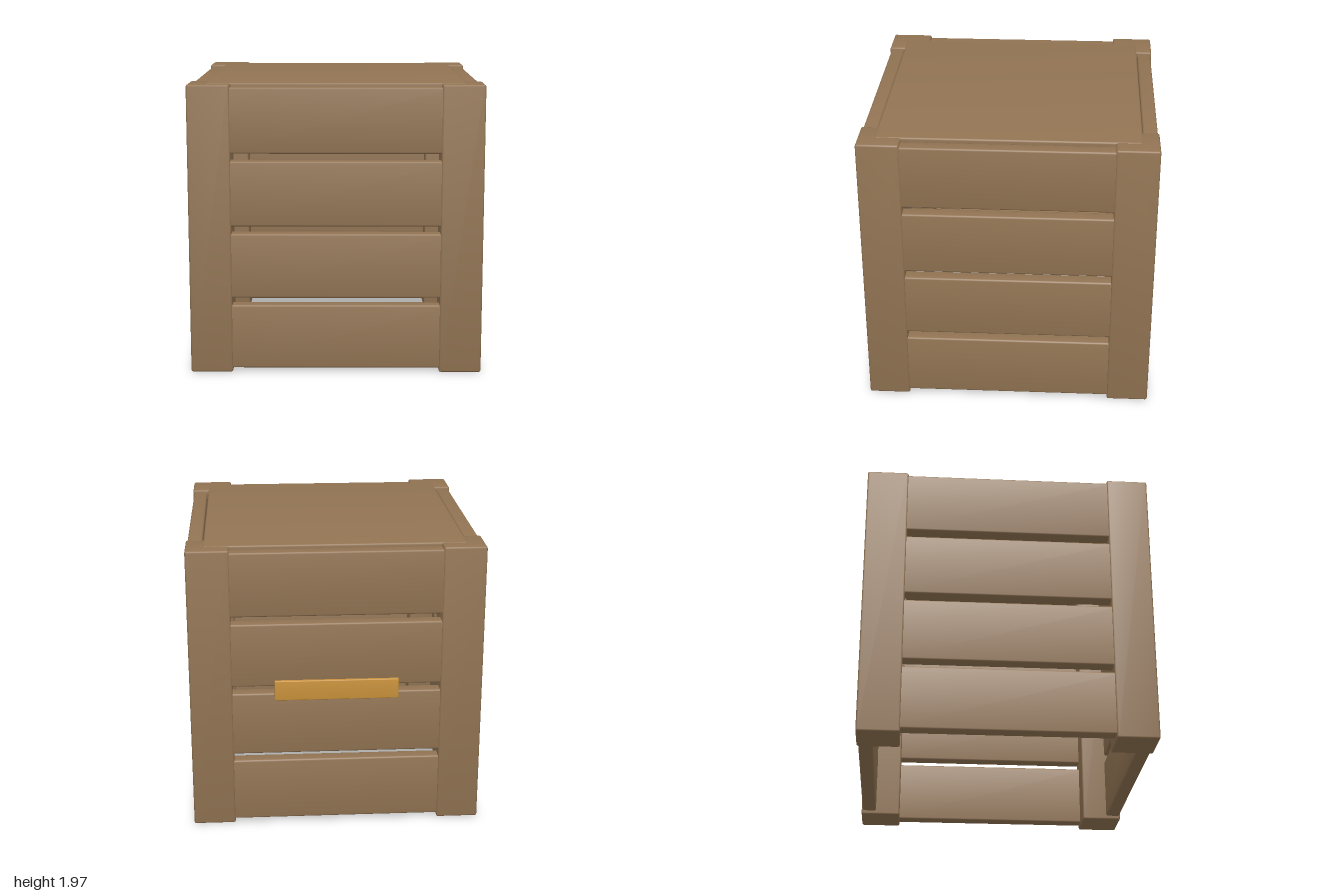
import * as THREE from 'three';
import { RoundedBoxGeometry } from 'three/addons/geometries/RoundedBoxGeometry.js';

const wood = new THREE.MeshStandardMaterial({ color: 0x927453 });
wood.name = 'brown wood';
const brass = new THREE.MeshStandardMaterial({ color: 0xc8913a });
brass.name = 'golden handle';

// Bevelled box between two corners, with normals softened towards the edges
function plank(name, material, min, max, bevel = 0.012, soft = 0.15) {
  const size = max.map((v, i) => v - min[i]);
  const geometry = new RoundedBoxGeometry(size[0], size[1], size[2], 1, bevel);
  const p = geometry.attributes.position;
  const n = geometry.attributes.normal;
  const v = new THREE.Vector3();
  for (let i = 0; i < p.count; i++) {
    v.fromBufferAttribute(n, i);
    v.x += soft * Math.sign(p.getX(i));
    v.y += soft * Math.sign(p.getY(i));
    v.z += soft * Math.sign(p.getZ(i));
    v.normalize();
    n.setXYZ(i, v.x, v.y, v.z);
  }
  const mesh = new THREE.Mesh(geometry, material);
  mesh.name = name;
  mesh.position.set(...min.map((a, i) => (a + max[i]) / 2));
  return mesh;
}

export function createModel() {
  const crate = new THREE.Group();
  crate.name = 'crate';

  const body = new THREE.Group();
  body.name = 'crateBody';
  body.position.z = 0.006; // leaves room for the handle at the back
  crate.add(body);

  // Square corner posts
  const inner = 0.705, outer = 0.992, top = 1.97;
  for (const sx of [-1, 1]) {
    for (const sz of [-1, 1]) {
      const x = [inner * sx, outer * sx].sort((a, b) => a - b);
      const z = [inner * sz, outer * sz].sort((a, b) => a - b);
      body.add(plank('cornerPost', wood, [x[0], 0, z[0]], [x[1], top, z[1]]));
    }
  }

  // Four slats on each side, ends buried in the posts
  for (let row = 0; row < 4; row++) {
    const y0 = 0.028 + row * 0.494;
    const y1 = y0 + 0.442;
    for (const s of [-1, 1]) {
      const d = [0.884 * s, 0.984 * s].sort((a, b) => a - b);
      body.add(plank('frontBackSlat', wood, [-0.74, y0, d[0]], [0.74, y1, d[1]]));
      body.add(plank('sideSlat', wood, [d[0], y0, -0.74], [d[1], y1, 0.74]));
    }
  }

  // Lid panel set between the slats, all but level with the posts
  body.add(plank('lid', wood, [-0.875, 1.9, -0.88], [0.875, 1.973, 0.88], 0.012, 0.1));

  // Handle bar on the back
  crate.add(plank('handle', brass, [-0.42, 0.92, -1], [0.42, 1.06, -0.955], 0.006, 0.1));
  return crate;
}
